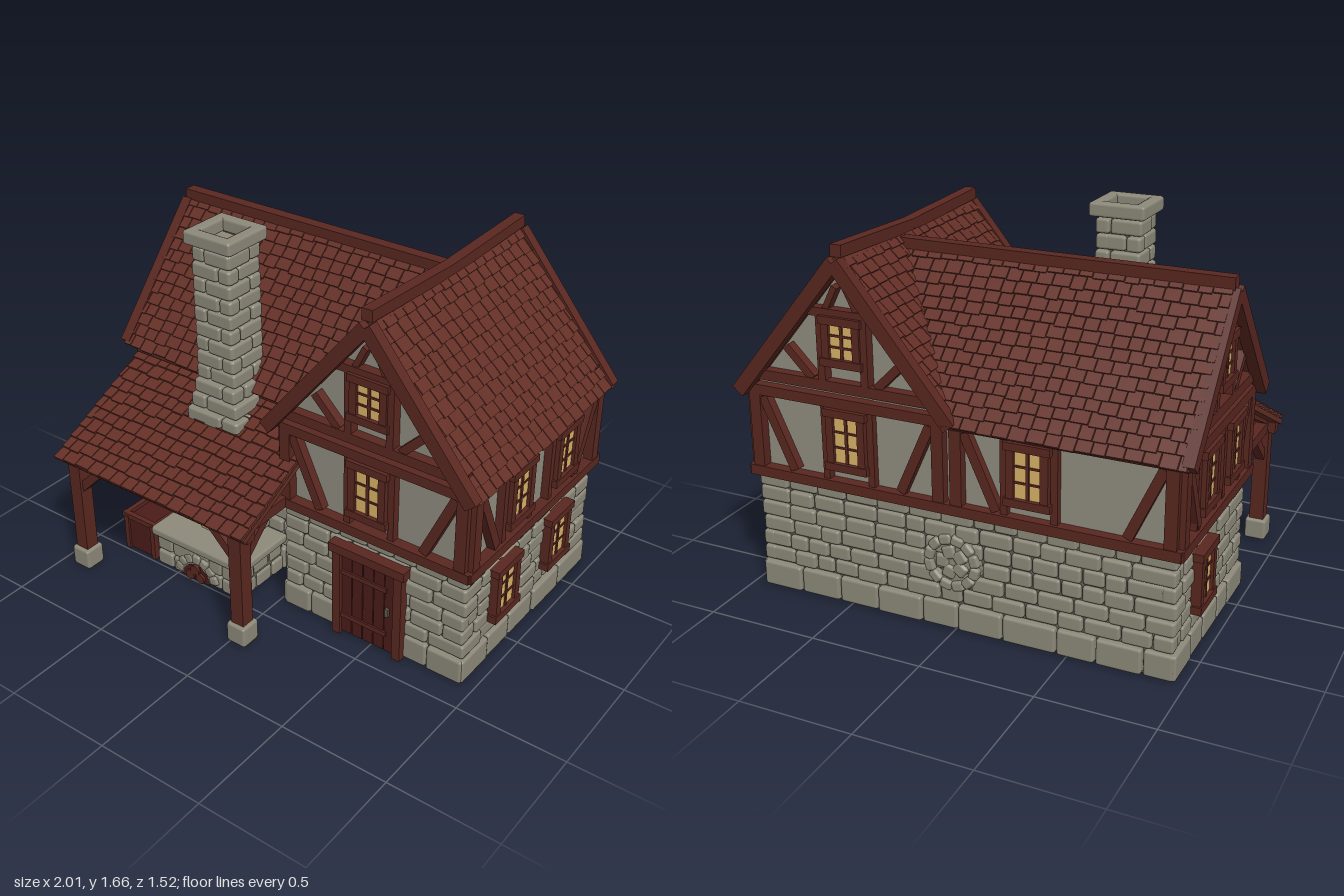
import * as THREE from 'three';
import { mergeGeometries } from 'three/addons/utils/BufferGeometryUtils.js';
import { RoundedBoxGeometry } from 'three/addons/geometries/RoundedBoxGeometry.js';
import { ConvexGeometry } from 'three/addons/geometries/ConvexGeometry.js';

const paint = (name, color) => Object.assign(new THREE.MeshStandardMaterial({ color }), { name });
const M = {
  roof: paint('roofRed', 0x642f26), wood: paint('timber', 0x5a2720), door: paint('doorWood', 0x4b1c18),
  stone: paint('stone', 0x8d897a), mortar: paint('mortar', 0x625e53), plaster: paint('plaster', 0x918d80),
  glow: paint('windowGlow', 0xdcb468),
};
const V = (x, y, z) => new THREE.Vector3(x, y, z);

let seed = 7;
const rnd = (a, b) => {
  seed = (seed * 16807) % 2147483647;
  return a + (b - a) * (seed / 2147483647);
};

function add(parent, name, geo, mat, x = 0, y = 0, z = 0) {
  const m = new THREE.Mesh(geo, mat);
  m.name = name;
  m.position.set(x, y, z);
  parent.add(m);
  return m;
}
const box = (p, name, mat, x, y, z, w, h, d) => add(p, name, new THREE.BoxGeometry(w, h, d), mat, x, y, z);
const rock = (w, h, d) => new RoundedBoxGeometry(w, h, d, 1, Math.min(0.013, w / 3, h / 3, d / 3));

// Square bar between two points
function bar(p, name, a, b, w, d = w, mat = M.wood) {
  const m = box(p, name, mat, 0, 0, 0, w, a.distanceTo(b), d);
  m.position.copy(a).lerp(b, 0.5);
  m.quaternion.setFromUnitVectors(V(0, 1, 0), b.clone().sub(a).normalize());
  return m;
}

// Wall frame: local x runs along the wall, local z points outwards
function wallFace(root, name, x, z, angle) {
  const f = new THREE.Group();
  f.name = name;
  f.position.set(x, 0, z);
  f.rotation.y = angle;
  root.add(f);
  return f;
}
const beam = (f, name, u0, y0, u1, y1, w = 0.045, out = 0) =>
  bar(f, name, V(u0, y0, out), V(u1, y1, out), w, 0.05);

// Courses of uneven rounded stones
function courses(f, name, u0, u1, y0, y1, rows, width) {
  const parts = [], h = (y1 - y0) / rows;
  for (let r = 0; r < rows; r++) {
    let u = u0;
    while (u < u1 - 0.001) {
      let w = width * rnd(0.7, 1.3);
      if (u1 - u - w < width * 0.5) w = u1 - u;
      parts.push(rock(w - 0.005, h - 0.005, 0.06).translate(u + w / 2, y0 + (r + 0.5) * h, -0.031 + rnd(-0.005, 0.006)));
      u += w;
    }
  }
  add(f, name, mergeGeometries(parts), M.stone);
}
function stoneWall(f, u0, u1) {
  courses(f, 'stoneCourses', u0, u1, 0.12, 0.55, 6, 0.125);
  courses(f, 'footingStones', u0 - 0.005, u1 + 0.005, 0, 0.12, 1, 0.19);
  f.children.at(-1).position.z = 0.01;
}

// Stones set around an arc
function arch(f, name, u, y, r, n, a0, a1, size, out) {
  const parts = [];
  for (let i = 0; i < n; i++) {
    const a = a0 + (a1 - a0) * (i + 0.5) / n;
    parts.push(rock(size, r * (a1 - a0) / n * 1.05, 0.05).rotateZ(a)
      .translate(u + r * Math.cos(a), y + r * Math.sin(a), out));
  }
  add(f, name, mergeGeometries(parts), M.stone);
}

// Glowing window with timber frame and glazing bars
function windowAt(f, u, y, w, h, out = 0.012) {
  const g = new THREE.Group();
  g.name = 'window';
  g.position.set(u, y, out);
  f.add(g);
  box(g, 'pane', M.glow, 0, 0, 0.004, w, h, 0.008);
  for (const s of [-1, 1]) {
    box(g, 'jamb', M.wood, s * (w / 2 + 0.016), 0, 0, 0.034, h + 0.05, 0.045);
    box(g, 'rail', M.wood, 0, s * (h / 2 + 0.016), 0.003, w + 0.085, 0.034, 0.05);
    box(g, 'glazingBar', M.wood, 0, s * h / 6, 0.009, w, 0.009, 0.008);
  }
  box(g, 'mullion', M.wood, 0, 0, 0.009, 0.013, h, 0.01);
}

// Upper storey timbering with outward braces and windows
function storey(f, u0, u1, wins) {
  beam(f, 'sillBeam', u0 - 0.02, 0.56, u1 + 0.02, 0.56, 0.045, 0.004);
  beam(f, 'wallPlate', u0, 0.93, u1, 0.93);
  for (const [u, s] of [[u0, 1], [u1, -1]]) {
    beam(f, 'cornerPost', u + s * 0.025, 0.56, u + s * 0.025, 0.95, 0.052);
    beam(f, 'brace', u + s * 0.06, 0.9, u + s * 0.2, 0.59, 0.042, -0.006);
  }
  for (const u of wins) {
    windowAt(f, u, 0.77, 0.115, 0.205);
    for (const s of [-1, 1]) beam(f, 'windowPost', u + s * 0.108, 0.57, u + s * 0.108, 0.93, 0.03, -0.01);
  }
}

// Gable timbering around a small window
function gable(f, c, half, apex) {
  const k = (apex - 0.95) / half;
  beam(f, 'tieBeam', c - half, 1.0, c + half, 1.0, 0.045);
  beam(f, 'collar', c - (apex - 1.3) / k, 1.31, c + (apex - 1.3) / k, 1.31, 0.036);
  windowAt(f, c, 1.195, 0.11, 0.145);
  for (const s of [-1, 1]) {
    beam(f, 'bargeBoard', c + s * (half + 0.05), 0.925, c, apex + 0.03, 0.06, 0.04);
    beam(f, 'gablePost', c + s * 0.1, 1.0, c + s * 0.1, 1.3, 0.034);
    beam(f, 'gableBrace', c + s * 0.27, 1.14, c + s * 0.15, 1.02, 0.036, -0.005);
    beam(f, 'peakBrace', c + s * 0.075, 1.32, c + s * 0.025, apex - 0.08, 0.026, -0.005);
  }
}

// Shingled slope: A-B along the ridge, C-D along the eave
function slope(root, name, A, B, C, D, rows) {
  let along = B.clone().sub(A).normalize();
  const fall = C.clone().sub(A);
  const down = fall.clone().addScaledVector(along, -fall.dot(along));
  const step = down.length() / rows;
  down.normalize();
  if (along.clone().cross(down).y < 0) { [A, B, C, D] = [B, A, D, C]; along.negate(); }
  const n = along.clone().cross(down);
  const g = new THREE.Group();
  g.name = name;
  root.add(g);
  const pts = [A, B, C, D].flatMap((p) => [p.clone().addScaledVector(n, -0.012), p.clone().addScaledVector(n, -0.035)]);
  add(g, 'roofBoards', new ConvexGeometry(pts), M.roof);
  const parts = [], basis = new THREE.Matrix4();
  for (let r = 0; r < rows; r++) {
    const t = (r + 0.5) / rows;
    const a = A.clone().lerp(C, t), len = a.distanceTo(B.clone().lerp(D, t));
    for (let s = r % 2 ? -0.033 : 0; s < len;) {
      const w = rnd(0.055, 0.078), s0 = Math.max(s, 0), s1 = Math.min(s + w, len);
      s += w;
      if (s1 - s0 < 0.008) continue;
      const geo = new THREE.BoxGeometry(s1 - s0 - 0.004, step * 1.25, 0.013).rotateX(0.14 + rnd(-0.03, 0.03));
      basis.makeBasis(along, down, n).setPosition(a.clone().addScaledVector(along, (s0 + s1) / 2).addScaledVector(down, rnd(-0.005, 0.005)));
      parts.push(geo.applyMatrix4(basis));
    }
  }
  add(g, 'shingles', mergeGeometries(parts), M.roof);
}

// Five-sided plaster body, extruded along its ridge
function plasterBody(root, name, c, half, apex, depth) {
  const s = new THREE.Shape([[-half, 0.54], [half, 0.54], [half, 0.95], [0, apex], [-half, 0.95]]
    .map(([x, y]) => new THREE.Vector2(c + x, y)));
  return add(root, name, new THREE.ExtrudeGeometry(s, { depth, bevelEnabled: false }), M.plaster);
}

export function createModel() {
  const root = new THREE.Group();
  root.name = 'timberFramedForgeHouse';
  const H = Math.PI / 2;

  // Wall cores
  box(root, 'wingCore', M.mortar, -0.1, 0.275, -0.255, 1.66, 0.548, 0.83);
  box(root, 'blockCore', M.mortar, 0.485, 0.275, -0.16, 0.87, 0.546, 1.02);
  plasterBody(root, 'blockPlaster', 0.475, 0.445, 1.5, 1.02).position.z = -0.67;
  const wing = plasterBody(root, 'wingPlaster', 0.255, 0.42, 1.44, 1.3);
  wing.rotation.y = H;
  wing.position.x = -0.93;

  // Faces
  const front = wallFace(root, 'blockFront', 0, 0.37, 0);
  const wingFront = wallFace(root, 'wingFront', 0, 0.18, 0);
  const right = wallFace(root, 'plusXWall', 0.94, 0, H);
  const back = wallFace(root, 'backWall', 0, -0.69, Math.PI);
  const left = wallFace(root, 'minusXWall', -0.95, 0, -H);
  const inner = wallFace(root, 'innerCornerWall', 0.03, 0, -H);
  stoneWall(front, 0.03, 0.94);
  stoneWall(wingFront, -0.95, 0.04);
  stoneWall(right, -0.37, 0.69);
  stoneWall(back, -0.94, 0.95);
  stoneWall(left, -0.69, 0.18);
  stoneWall(inner, 0.18, 0.37);

  // Upper timbering
  storey(front, 0.03, 0.94, [0.475]);
  storey(right, -0.37, 0.69, [-0.01, 0.375]);
  storey(back, -0.94, -0.03, [-0.475]);
  storey(back, 0, 0.95, [0.34]);
  storey(left, -0.69, 0.18, [-0.4, -0.08]);
  beam(wingFront, 'wallPlate', -0.95, 0.91, 0.03, 0.91);
  beam(wingFront, 'sillBeam', -0.95, 0.56, 0.03, 0.56);
  beam(inner, 'sillBeam', 0.18, 0.56, 0.37, 0.56);
  beam(inner, 'cornerPost', 0.345, 0.56, 0.345, 0.95);
  gable(front, 0.475, 0.445, 1.5);
  gable(back, -0.475, 0.445, 1.5);
  gable(left, -0.255, 0.42, 1.44);
  for (const u of [-0.08, 0.365]) windowAt(right, u, 0.34, 0.12, 0.2, 0.015);
  windowAt(left, -0.4, 0.34, 0.12, 0.2, 0.015);

  // Round stone relief on the back
  arch(back, 'stoneRing', -0.01, 0.31, 0.105, 12, 0, Math.PI * 2, 0.045, -0.008);
  arch(back, 'stoneRingCentre', -0.01, 0.31, 0.045, 5, 0, Math.PI * 2, 0.06, -0.015);

  // Roofs
  const gy = 1.555, my = 1.505, ey = 0.93;
  slope(root, 'wingRoofFront', V(-0.99, my, -0.26), V(0.45, my, -0.26), V(-0.99, ey, 0.235), V(-0.02, ey, 0.235), 14);
  slope(root, 'wingRoofBack', V(-0.99, my, -0.26), V(0.45, my, -0.26), V(-0.99, ey, -0.745), V(0, ey, -0.745), 14);
  slope(root, 'blockRoofOuter', V(0.47, gy, 0.4), V(0.47, gy, -0.725), V(0.98, ey, 0.4), V(0.98, ey, -0.725), 14);
  slope(root, 'blockRoofInnerFront', V(0.47, gy, 0.4), V(0.47, gy, -0.28), V(-0.03, ey, 0.4), V(-0.03, ey, 0.22), 14);
  slope(root, 'blockRoofInnerBack', V(0.47, gy, -0.24), V(0.47, gy, -0.725), V(-0.03, ey, -0.715), V(-0.03, ey, -0.725), 14);
  slope(root, 'leanToRoof', V(-0.96, 0.885, 0.16), V(0.11, 0.885, 0.16), V(-0.96, 0.59, 0.745), V(0.11, 0.59, 0.745), 11);
  box(root, 'wingRidge', M.wood, -0.27, 1.505, -0.26, 1.45, 0.05, 0.055);
  for (const s of [-1, 1]) bar(root, 'blockRidge', V(0.47, 1.555, -0.16), V(0.47, 1.575, -0.16 + s * 0.57), 0.05, 0.05);

  // Door
  const door = new THREE.Group();
  door.name = 'door';
  door.position.set(0.485, 0, 0.38);
  root.add(door);
  for (let i = 0; i < 5; i++) box(door, 'plank', M.door, (i - 2) * 0.055, 0.22, 0, 0.051, 0.42, 0.02);
  for (const y of [0.1, 0.33]) box(door, 'hingeStrap', M.wood, -0.02, y, 0.012, 0.23, 0.022, 0.012);
  box(door, 'handle', M.mortar, 0.1, 0.22, 0.014, 0.015, 0.04, 0.015);
  for (const s of [-1, 1]) box(door, 'doorPost', M.wood, s * 0.155, 0.22, 0.005, 0.04, 0.44, 0.045);
  box(door, 'lintel', M.wood, 0, 0.45, 0.008, 0.38, 0.042, 0.055);

  // Lean-to posts, beams and braces
  for (const [x, s] of [[-0.89, 1], [0.035, -1]]) {
    add(root, 'postFoot', rock(0.1, 0.1, 0.1), M.stone, x, 0.05, 0.68);
    box(root, 'post', M.wood, x, 0.32, 0.68, 0.066, 0.46, 0.066);
    bar(root, 'sideBeam', V(x, 0.565, 0.2), V(x, 0.565, 0.71), 0.05);
    bar(root, 'frontBrace', V(x, 0.41, 0.68), V(x + s * 0.14, 0.55, 0.68), 0.04);
    bar(root, 'sideBrace', V(x, 0.41, 0.67), V(x, 0.55, 0.52), 0.04);
    bar(root, 'rafter', V(x, 0.82, 0.2), V(x, 0.575, 0.71), 0.04);
  }
  bar(root, 'frontBeam', V(-0.95, 0.565, 0.68), V(0.1, 0.565, 0.68), 0.052);

  // Forge hearth with oven arch and embers
  const hearth = wallFace(root, 'hearth', 0, 0.49, 0);
  box(hearth, 'hearthCore', M.mortar, -0.38, 0.08, -0.17, 0.48, 0.16, 0.28);
  courses(hearth, 'hearthStones', -0.63, -0.13, 0, 0.16, 2, 0.11);
  for (const [x, a] of [[-0.13, H], [-0.63, -H]]) {
    courses(wallFace(root, 'hearthSide', x, 0.335, a), 'hearthSideStones', -0.15, 0.15, 0, 0.16, 2, 0.1);
  }
  add(hearth, 'hearthSlab', rock(0.54, 0.042, 0.33), M.stone, -0.38, 0.178, -0.15);
  arch(hearth, 'logArch', -0.39, 0.01, 0.105, 7, 0.1, Math.PI - 0.1, 0.05, -0.015);
  add(hearth, 'logHole', new THREE.CircleGeometry(0.08, 16, 0, Math.PI), M.door, -0.39, 0.008, 0.006);
  for (const [x, y] of [[-0.42, 0.03], [-0.36, 0.03], [-0.39, 0.065]]) {
    add(hearth, 'log', new THREE.CylinderGeometry(0.025, 0.025, 0.03, 10).rotateX(H), M.wood, x, y, 0.002);
  }
  const breast = wallFace(root, 'chimneyBreast', 0, 0.34, 0);
  box(breast, 'breastCore', M.mortar, -0.385, 0.46, -0.1, 0.32, 0.54, 0.16);
  courses(breast, 'breastStones', -0.56, -0.21, 0.2, 0.74, 7, 0.11);
  for (const [x, a] of [[-0.21, H], [-0.56, -H]]) {
    courses(wallFace(root, 'breastSide', x, 0.25, a), 'breastSideStones', -0.08, 0.08, 0.2, 0.74, 7, 0.09);
  }
  arch(breast, 'ovenArch', -0.39, 0.21, 0.135, 9, 0, Math.PI, 0.05, 0);
  add(breast, 'ovenMouth', new THREE.CircleGeometry(0.112, 20, 0, Math.PI), M.mortar, -0.39, 0.2, 0.008);
  add(breast, 'embers', rock(0.14, 0.035, 0.03), M.glow, -0.39, 0.218, 0.02);

  // Water trough
  box(root, 'troughBody', M.door, -0.74, 0.09, 0.37, 0.18, 0.17, 0.22);
  for (const s of [-1, 1]) {
    box(root, 'troughRim', M.wood, -0.74, 0.18, 0.37 + s * 0.105, 0.21, 0.025, 0.025);
    box(root, 'troughRim', M.wood, -0.74 + s * 0.09, 0.18, 0.37, 0.025, 0.025, 0.22);
    box(root, 'troughStave', M.wood, -0.74 + s * 0.08, 0.09, 0.48, 0.025, 0.18, 0.02);
  }

  // Chimney: flared courses and a hollow cap
  const chimney = wallFace(root, 'chimney', -0.355, 0.24, 0);
  box(chimney, 'flue', M.mortar, 0, 1.14, 0, 0.15, 0.88, 0.15);
  const bricks = [], cap = [];
  for (let r = 0; r < 13; r++) {
    const y = 0.735 + r * 0.0685, h = 0.103 + Math.max(0, 1.0 - y) * 0.19;
    for (let q = 0; q < 4; q++) {
      const cut = (r + q) % 2 ? 0.35 : -0.35;
      for (const [a, b] of [[-1, cut], [cut, 1]]) {
        bricks.push(rock((b - a) * h - 0.004, 0.065, 0.06)
          .translate((a + b) / 2 * h, y, h - 0.03 + rnd(-0.004, 0.004)).rotateY(q * H));
      }
    }
  }
  for (let q = 0; q < 4; q++) cap.push(rock(0.25, 0.062, 0.055).translate(0, 1.628, 0.0975).rotateY(q * H));
  add(chimney, 'chimneyStones', mergeGeometries(bricks), M.stone);
  add(chimney, 'chimneyCap', mergeGeometries(cap), M.stone);

  return root;
}
